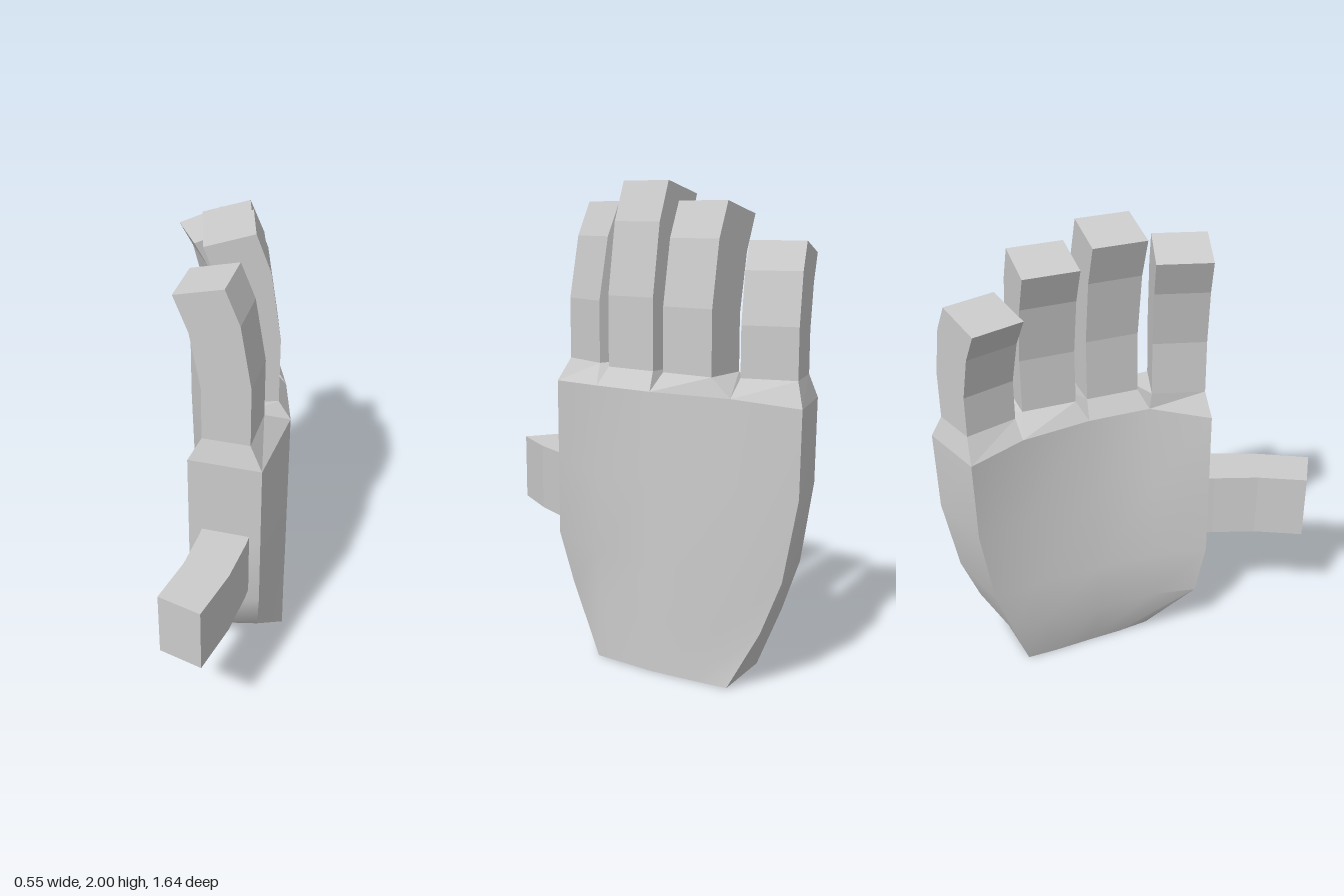
import * as THREE from 'three';
import { toCreasedNormals } from 'three/addons/utils/BufferGeometryUtils.js';

const material = new THREE.MeshStandardMaterial({ color: 0xcccccc });

// Skin a list of rings (equal point counts), capping the chosen ends.
function loft(rings, capStart = true, capEnd = true) {
  const n = rings[0].length, pos = [];
  const quad = (a, b, c, d) => pos.push(...a, ...b, ...c, ...a, ...c, ...d);
  for (let r = 0; r < rings.length - 1; r++) {
    for (let i = 0; i < n; i++) {
      const j = (i + 1) % n;
      quad(rings[r][i], rings[r][j], rings[r + 1][j], rings[r + 1][i]);
    }
  }
  const first = rings[0], last = rings[rings.length - 1];
  for (let i = 0; i < n / 2 - 1; i++) {
    const k = n - 1 - i;
    if (capStart) quad(first[i], first[k], first[k - 1], first[i + 1]);
    if (capEnd) quad(last[i], last[i + 1], last[k - 1], last[k]);
  }
  const geometry = new THREE.BufferGeometry();
  geometry.setAttribute('position', new THREE.Float32BufferAttribute(pos, 3));
  geometry.computeVertexNormals();
  return geometry;
}

function addMesh(group, name, geometry) {
  const mesh = new THREE.Mesh(geometry, material);
  mesh.name = name;
  group.add(mesh);
}

// Top rim of the palm, index side to little side: back-of-hand and inner points.
const rimOuter = [[0.135, 1.15, 0.39], [0.27, 1.175, 0.06], [0.27, 1.175, -0.21], [0.225, 1.175, -0.56], [0.14, 1.15, -0.825]];
const rimInner = [[-0.16, 1.15, 0.30], [-0.03, 1.175, 0.07], [-0.03, 1.175, -0.2], [-0.075, 1.175, -0.5], [-0.15, 1.15, -0.735]];

// Lower palm rows: height, then x and z across both faces.
const palmRows = [
  { y: 0, ox: [0.27, 0.27, 0.27, 0.245, 0.225], oz: [0.06, -0.08, -0.22, -0.42, -0.56],
    ix: [-0.03, -0.045, -0.05, -0.06, -0.06], iz: [0.06, -0.08, -0.22, -0.4, -0.53] },
  { y: 0.24, ox: [0.135, 0.27, 0.27, 0.225, 0.175], oz: [0.31, 0.05, -0.21, -0.54, -0.68],
    ix: [-0.16, -0.12, -0.12, -0.12, -0.12], iz: [0.25, 0.06, -0.2, -0.48, -0.61] },
  { y: 0.46, ox: [0.135, 0.27, 0.27, 0.225, 0.15], oz: [0.39, 0.06, -0.21, -0.56, -0.76],
    ix: [-0.16, -0.11, -0.11, -0.12, -0.14], iz: [0.30, 0.07, -0.2, -0.5, -0.68] },
  { y: 0.8, ox: [0.135, 0.27, 0.27, 0.225, 0.14], oz: [0.39, 0.06, -0.21, -0.56, -0.82],
    ix: [-0.16, -0.075, -0.075, -0.1, -0.15], iz: [0.30, 0.07, -0.2, -0.5, -0.73] },
];

function palmGeometry() {
  const rings = palmRows.map(({ y, ox, oz, ix, iz }) => [
    ...ox.map((x, i) => [x, y, oz[i]]),
    ...ix.map((x, i) => [x, y, iz[i]]).reverse(),
  ]);
  rings.push([...rimOuter, ...[...rimInner].reverse()]);
  return toCreasedNormals(loft(rings), 0.6);
}

// A finger: knuckle bevel from the rim, then segments curling along the inward direction.
function fingerGeometry(slot, front, back, height) {
  const [dx, dz] = [back[0] - front[0], back[1] - front[1]];
  const len = Math.hypot(dx, dz);
  const inward = [dz / len, -dx / len];
  const at = (p, t, y) => [p[0] + inward[0] * t, y, p[1] + inward[1] * t];
  const rings = [[rimOuter[slot], rimOuter[slot + 1], rimInner[slot + 1], rimInner[slot]]];
  // Fraction of height, curl offset, drop of the inner edge.
  for (const [f, curl, drop] of [[0, 0, 0], [0.39, 0, 0.03], [0.785, 0.045, 0.055], [1, 0.105, 0.05]]) {
    const y = 1.25 + f * height;
    rings.push([at(front, curl, y), at(back, curl, y), at(back, curl + 0.2, y - drop), at(front, curl + 0.2, y - drop)]);
  }
  return loft(rings, false, true);
}

export function createModel() {
  const hand = new THREE.Group();
  hand.name = 'hand';

  addMesh(hand, 'palm', palmGeometry());

  // Fingers: name, front and back corners (x, z) on the back of the hand, height.
  const fingers = [
    ['indexFinger', [0.09, 0.35], [0.155, 0.135], 0.67],
    ['middleFinger', [0.22, 0.035], [0.22, -0.19], 0.75],
    ['ringFinger', [0.22, -0.24], [0.22, -0.47], 0.67],
    ['littleFinger', [0.17, -0.57], [0.105, -0.785], 0.52],
  ];
  fingers.forEach(([name, front, back, height], slot) =>
    addMesh(hand, name, fingerGeometry(slot, front, back, height)));

  // Thumb: outer and inner edges (x, z), swept forward and inward.
  const thumb = [
    [[0.1, 0.34], [-0.09, 0.26]],
    [[0.075, 0.42], [-0.115, 0.35]],
    [[0, 0.61], [-0.18, 0.53]],
    [[-0.115, 0.82], [-0.28, 0.72]],
  ];
  addMesh(hand, 'thumb', loft(thumb.map(([o, i]) => [
    [o[0], 0.51, o[1]], [o[0], 0.805, o[1]], [i[0], 0.805, i[1]], [i[0], 0.51, i[1]],
  ])));

  return hand;
}
